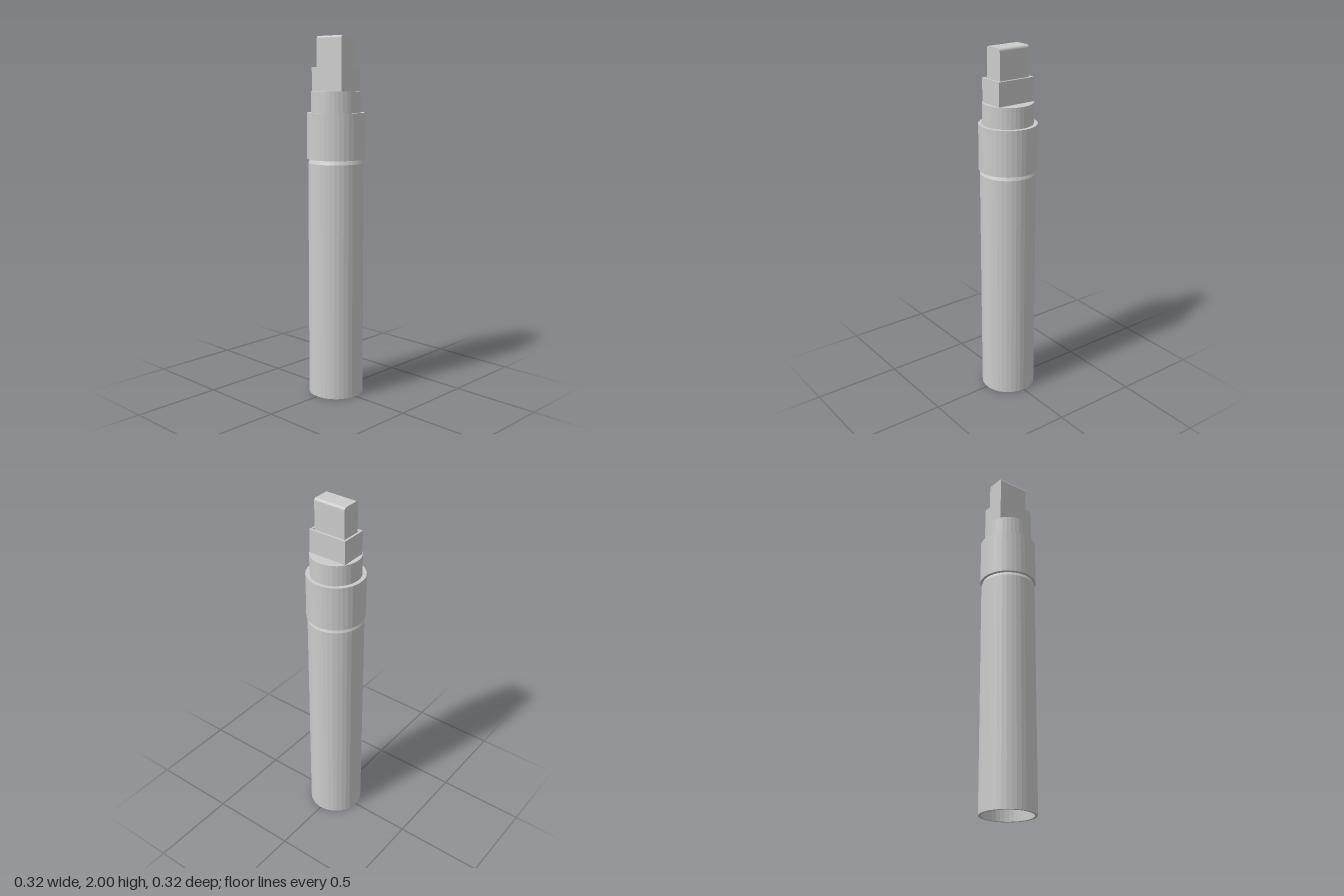
import * as THREE from 'three';

const SIDES = 36;

export function createModel() {
  const group = new THREE.Group();
  const material = new THREE.MeshStandardMaterial({ color: 0xcccccc, flatShading: true });

  const add = (name, geometry) => {
    const mesh = new THREE.Mesh(geometry, material);
    mesh.name = name;
    group.add(mesh);
    return mesh;
  };
  // Profile points [radius, height], running up the outside
  const lathe = (name, points) =>
    add(name, new THREE.LatheGeometry(points.map(([r, y]) => new THREE.Vector2(r, y)), SIDES));
  const rectangle = (Type, w, d) => {
    const s = new Type();
    s.moveTo(-w / 2, -d / 2);
    s.lineTo(w / 2, -d / 2);
    s.lineTo(w / 2, d / 2);
    s.lineTo(-w / 2, d / 2);
    s.closePath();
    return s;
  };

  // Barrel with a recessed open bottom and a chamfered shoulder
  lathe('barrel', [[0, 0.13], [0.137, 0.13], [0.137, 0], [0.153, 0],
    [0.153, 1.315], [0.144, 1.335], [0, 1.335]]);

  // Collar and the narrower neck above it
  lathe('collar', [[0, 1.337], [0.159, 1.337], [0.159, 1.59], [0.137, 1.59]]);
  lathe('neck', [[0.137, 1.59], [0.137, 1.705], [0, 1.705]]);

  // Rectangular sleeve around the nib
  const sleeve = rectangle(THREE.Shape, 0.224, 0.148);
  sleeve.holes.push(rectangle(THREE.Path, 0.2, 0.124));
  const sleeveGeometry = new THREE.ExtrudeGeometry(sleeve, { depth: 0.13, bevelEnabled: false });
  sleeveGeometry.rotateX(-Math.PI / 2);
  add('nibSleeve', sleeveGeometry).position.y = 1.705;
  add('sleeveFloor', new THREE.BoxGeometry(0.202, 0.08, 0.126)).position.y = 1.745;

  // Nib: side profile with rounded upper edges, extruded across the width
  const halfDepth = 0.055, height = 0.25, round = 0.014;
  const nib = new THREE.Shape();
  nib.moveTo(-halfDepth, 0);
  nib.lineTo(halfDepth, 0);
  nib.lineTo(halfDepth, height - round);
  nib.absarc(halfDepth - round, height - round, round, 0, Math.PI / 2);
  nib.absarc(-halfDepth + round, height - round, round, Math.PI / 2, Math.PI);
  nib.closePath();
  const nibGeometry = new THREE.ExtrudeGeometry(nib, { depth: 0.186, bevelEnabled: false, curveSegments: 5 });
  nibGeometry.translate(0, 0, -0.093).rotateY(Math.PI / 2);
  add('nib', nibGeometry).position.y = 1.75;

  return group;
}
